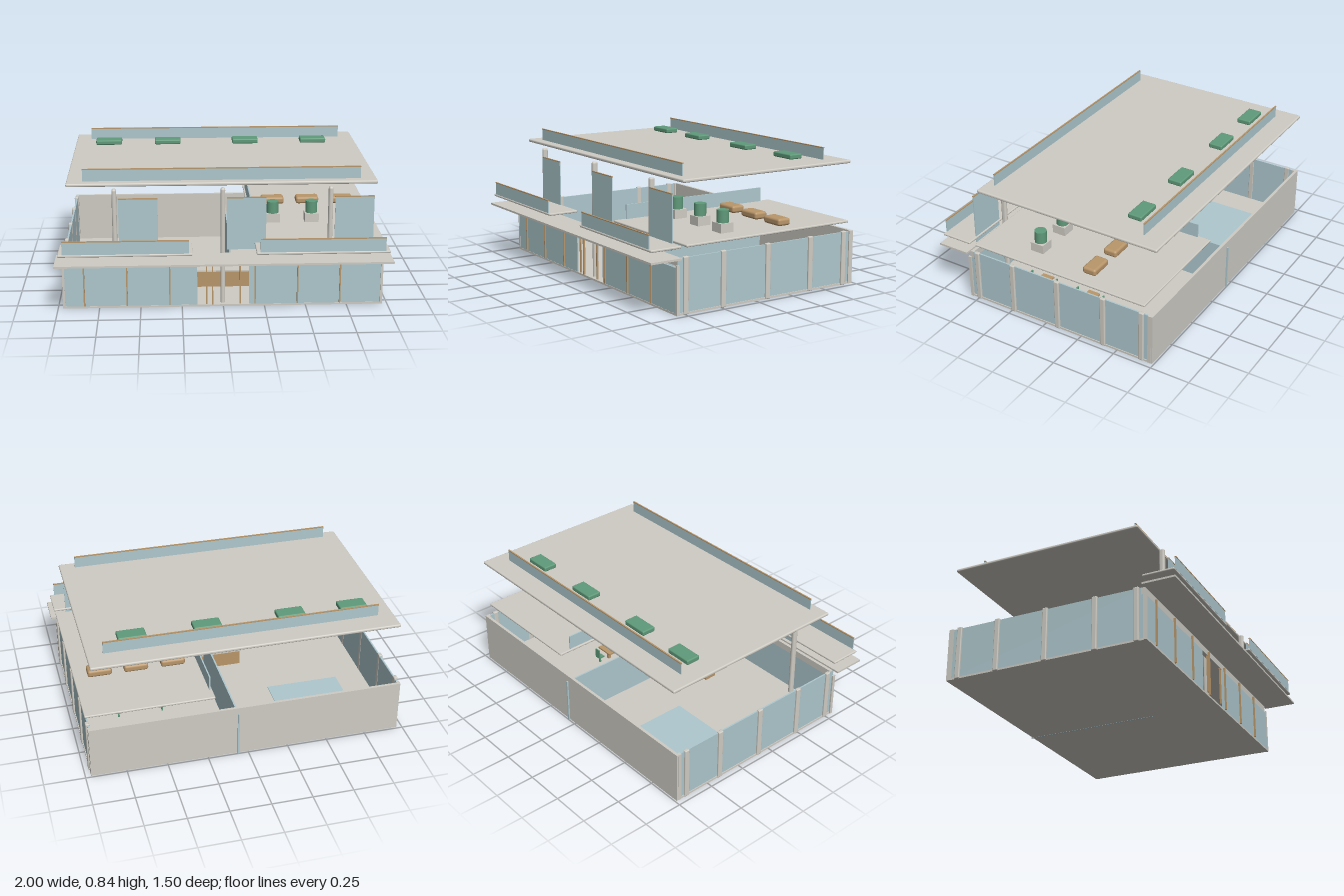
import * as THREE from 'three';
import { RoundedBoxGeometry } from 'three/addons/geometries/RoundedBoxGeometry.js';

const mat = (name, color) => Object.assign(new THREE.MeshStandardMaterial({ color }), { name });

export function createModel() {
  const concrete = mat('concrete', 0xcfccc4);
  const glass = mat('glass', 0xaec8ce);
  const wood = mat('wood', 0xb9966a);
  const green = mat('green', 0x5f9a7a);
  const model = new THREE.Group();
  model.name = 'pavilion';

  const add = (name, geometry, material, x, y, z, parent = model) => {
    const mesh = new THREE.Mesh(geometry, material);
    mesh.name = name;
    mesh.position.set(x, y, z);
    parent.add(mesh);
    return mesh;
  };
  // Box given by its lower and upper limits on each axis; r rounds the edges
  const box = (name, m, [x0, x1], [y0, y1], [z0, z1], r = 0, parent = model) => {
    const s = [x1 - x0, y1 - y0, z1 - z0];
    const g = r ? new RoundedBoxGeometry(...s, 3, r) : new THREE.BoxGeometry(...s);
    return add(name, g, m, (x0 + x1) / 2, (y0 + y1) / 2, (z0 + z1) / 2, parent);
  };
  const around = (c, w) => [c - w / 2, c + w / 2];

  // Glass pane along x with a wooden top rail
  const pane = (name, xs, [y0, y1], z) => {
    const group = new THREE.Group();
    group.name = name;
    box('paneGlass', glass, xs, [y0, y1 - 0.006], around(z, 0.006), 0, group);
    box('paneRail', wood, xs, [y1 - 0.006, y1], around(z, 0.009), 0, group);
    model.add(group);
  };

  // Ground floor shell
  box('floorSlab', concrete, [-0.965, 0.965], [0, 0.012], [-0.74, 0.56]);
  box('backWall', concrete, [-0.965, 0.965], [0, 0.33], [-0.74, -0.722]);
  box('partition', glass, [0.056, 0.066], [-0.001, 0.29], [-0.75, 0.12]);
  box('frontBeam', concrete, [-0.96, 0.96], [0.285, 0.328], [0.525, 0.55]);
  box('canopy', concrete, [-1, 1], [0.326, 0.338], [0.545, 0.75]);

  for (const s of [-1, 1]) {
    // Side glazing and its posts
    box('sideGlass', glass, around(s * 0.955, 0.01), [0.012, 0.328], [-0.722, 0.55]);
    for (const z of [0.495, 0.235, -0.085, -0.405, -0.665])
      box('sidePost', concrete, around(s * 0.96, 0.024), [0, 0.335], around(z, 0.034), 0.006);
    box('backCornerPost', concrete, around(s * 0.957, 0.02), [0, 0.33], around(-0.718, 0.02));
    box('frontCornerPost', concrete, around(s * 0.963, 0.014), [0, 0.29], around(0.55, 0.02));
    // Front glazing beside the entrance
    const x0 = s < 0 ? -0.958 : 0.155;
    box('frontGlass', glass, [x0, x0 + 0.8], [0.005, 0.275], [0.55, 0.558]);
    // Door handles
    box('doorHandle', wood, around(s * 0.102, 0.008), [0.02, 0.262], [0.56, 0.57]);
    // Front terraces with balustrades
    box('terrace', concrete, around(s * 0.583, 0.79), [0.387, 0.402], [0.535, 0.735], 0.006);
    pane('terraceBalustrade', around(s * 0.58, 0.74), [0.402, 0.485], 0.73);
  }

  // Wooden mullions along the front
  for (let i = 0; i < 7; i++)
    box('mullion', wood, around(-0.84 + i * 0.258, 0.008), [0.015, 0.3], [0.555, 0.568]);

  // Tall columns and the glass screens beside them
  for (const x of [-0.648, -0.002, 0.644]) {
    box('column', concrete, around(x, 0.028), [0.002, 0.738], around(0.516, 0.036), 0.013);
    pane('screen', [x + 0.024, x + 0.258], [0.36, 0.686], 0.545);
  }

  // Upper deck on the left half, with inner balustrade
  box('upperDeck', concrete, [0.19, 0.975], [0.387, 0.402], [-0.692, 0.497], 0.006);
  box('deckBalustrade', glass, around(0.205, 0.008), [0.402, 0.492], [-0.61, 0.418]);

  // Planters and benches on the deck
  for (const x of [0.33, 0.575, 0.805]) {
    box('planterBase', concrete, around(x, 0.088), [0.402, 0.458], around(0.128, 0.088));
    add('planterShrub', new THREE.CylinderGeometry(0.037, 0.037, 0.075, 24), green, x, 0.495, 0.128);
  }
  for (const x of [0.36, 0.59, 0.815])
    box('bench', wood, around(x, 0.15), [0.402, 0.447], around(-0.265, 0.09), 0.015);

  // Roof with balustrades and planting beds
  box('roof', concrete, [-0.935, 0.93], [0.742, 0.762], [-0.74, 0.49], 0.008);
  for (const z of [0.43, -0.602]) pane('roofBalustrade', [-0.838, 0.833], [0.762, 0.838], z);
  for (const x of [-0.714, -0.325, 0.19, 0.643])
    box('roofPlanting', green, around(x, 0.17), [0.762, 0.793], around(-0.476, 0.09), 0.008);

  // Reception counter and shallow pool inside
  box('counter', wood, [-0.2, 0.2], [0.012, 0.115], [0.18, 0.26]);
  box('counterTop', concrete, [-0.205, 0.205], [0.115, 0.125], [0.17, 0.27]);
  box('pool', glass, [-0.77, -0.3], [0.012, 0.016], [-0.62, -0.14]);

  // Tables with chairs inside the left half
  for (const x of [0.42, 0.7]) for (const z of [-0.14, 0.2]) {
    box('tableTop', wood, around(x, 0.12), [0.075, 0.085], around(z, 0.08));
    box('tableLeg', wood, around(x, 0.02), [0.012, 0.075], around(z, 0.02));
    for (const s of [-1, 1]) {
      box('chairSeat', green, around(x, 0.04), [0.05, 0.06], around(z + s * 0.075, 0.04));
      box('chairBack', green, around(x, 0.04), [0.06, 0.115], around(z + s * 0.092, 0.008));
      box('chairLeg', green, around(x, 0.01), [0.012, 0.05], around(z + s * 0.075, 0.01));
    }
  }
  return model;
}
